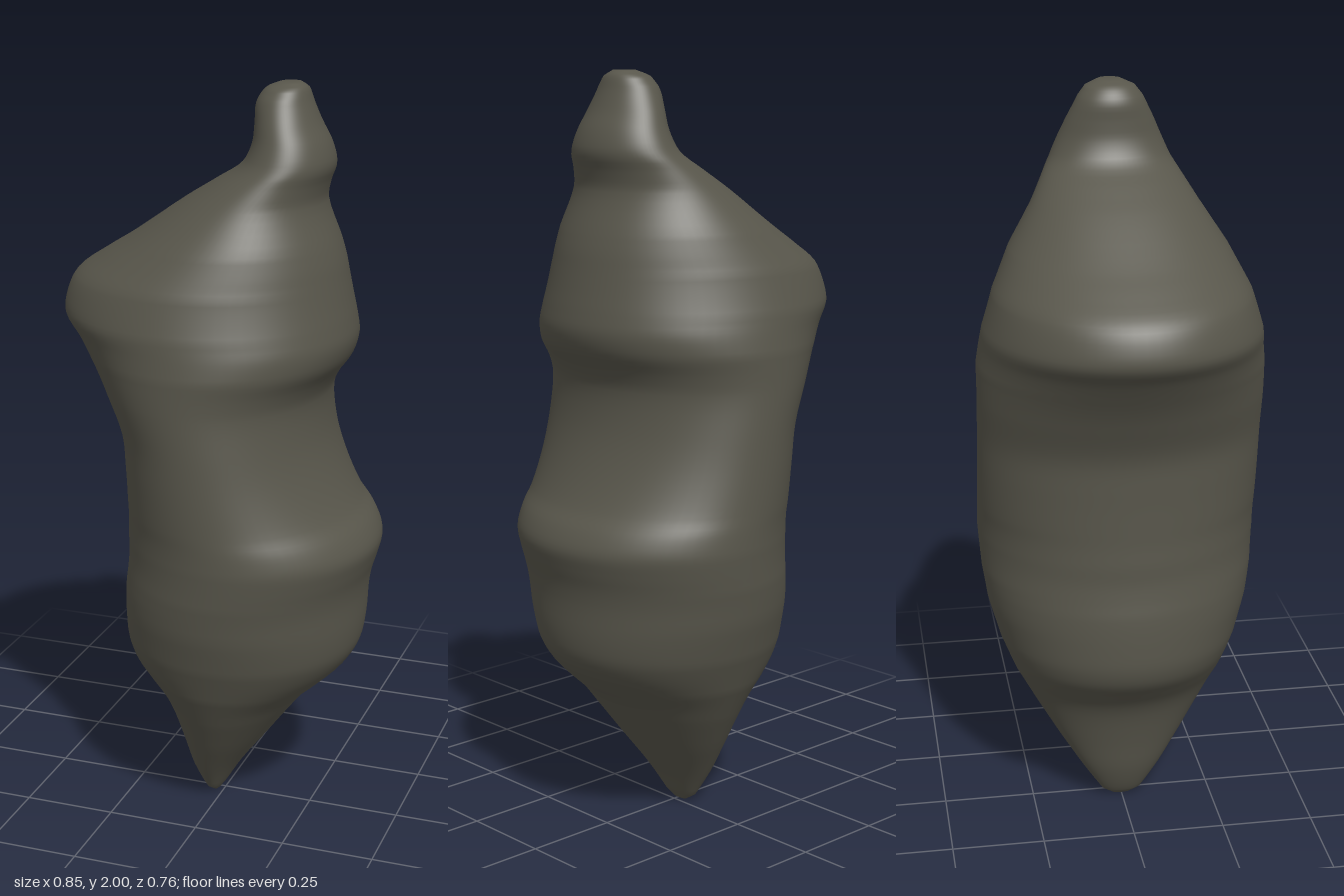
import * as THREE from 'three';

// Cross-sections from the foot up: height, low x, high x
const OUTLINE = [
  [0, -0.03, -0.015], [0.02, -0.05, 0], [0.1, -0.085, 0.05], [0.2, -0.11, 0.125],
  [0.3, -0.14, 0.2], [0.35, -0.165, 0.24], [0.4, -0.205, 0.295], [0.45, -0.245, 0.345],
  [0.5, -0.262, 0.375], [0.56, -0.265, 0.387], [0.65, -0.262, 0.392], [0.7, -0.255, 0.4],
  [0.75, -0.25, 0.415], [0.8, -0.25, 0.425], [0.85, -0.248, 0.405], [0.9, -0.248, 0.365],
  [1, -0.25, 0.315], [1.1, -0.258, 0.285], [1.2, -0.3, 0.28], [1.25, -0.325, 0.3],
  [1.3, -0.355, 0.335], [1.35, -0.388, 0.35], [1.4, -0.425, 0.345], [1.45, -0.42, 0.335],
  [1.5, -0.395, 0.325], [1.55, -0.325, 0.315], [1.6, -0.245, 0.3], [1.7, -0.1, 0.265],
  [1.75, -0.02, 0.272], [1.8, 0.055, 0.287], [1.85, 0.08, 0.275], [1.9, 0.085, 0.25],
  [1.95, 0.087, 0.23], [1.985, 0.11, 0.218], [2, 0.145, 0.2],
];

// Half depth by height
const DEPTH = [
  [0, 0.025], [0.02, 0.055], [0.1, 0.11], [0.2, 0.175], [0.3, 0.235], [0.4, 0.29],
  [0.5, 0.33], [0.6, 0.358], [0.7, 0.373], [0.8, 0.38], [1.3, 0.38], [1.4, 0.365],
  [1.5, 0.335], [1.6, 0.285], [1.7, 0.22], [1.8, 0.16], [1.9, 0.115], [1.96, 0.085],
  [1.985, 0.065], [2, 0.03],
];

function depthAt(y) {
  let i = 0;
  while (i < DEPTH.length - 2 && y > DEPTH[i + 1][0]) i++;
  const [y0, d0] = DEPTH[i], [y1, d1] = DEPTH[i + 1];
  return THREE.MathUtils.lerp(d0, d1, THREE.MathUtils.clamp((y - y0) / (y1 - y0), 0, 1));
}

// Smooth closed skin over elliptical sections
function bodyGeometry(rows = 136, segs = 72) {
  const curve = new THREE.CatmullRomCurve3(OUTLINE.map(([y, a, b]) => new THREE.Vector3(a, y, b)));
  const pos = [], index = [];
  for (let i = 0; i <= rows; i++) {
    const { x: low, y, z: high } = curve.getPoint(i / rows);
    const depth = depthAt(y);
    for (let j = 0; j < segs; j++) {
      const t = (j / segs) * Math.PI * 2;
      pos.push((low + high) / 2 + ((high - low) / 2) * Math.cos(t), y, depth * Math.sin(t));
    }
  }
  for (let i = 0; i < rows; i++) {
    for (let j = 0; j < segs; j++) {
      const a = i * segs + j, b = i * segs + ((j + 1) % segs);
      index.push(a, a + segs, b, b, a + segs, b + segs);
    }
  }
  // Close the two ends
  const foot = pos.length / 3, tip = foot + 1, last = rows * segs;
  pos.push(-0.022, 0, 0, 0.172, 2, 0);
  for (let j = 0; j < segs; j++) {
    const k = (j + 1) % segs;
    index.push(foot, j, k, tip, last + k, last + j);
  }
  const geo = new THREE.BufferGeometry();
  geo.setAttribute('position', new THREE.Float32BufferAttribute(pos, 3));
  geo.setIndex(index);
  geo.computeVertexNormals();
  return geo;
}

export function createModel() {
  const group = new THREE.Group();
  const stone = new THREE.MeshStandardMaterial({ color: 0x58564b });
  stone.name = 'dark olive grey';
  const body = new THREE.Mesh(bodyGeometry(), stone);
  body.name = 'body';
  group.add(body);
  return group;
}
